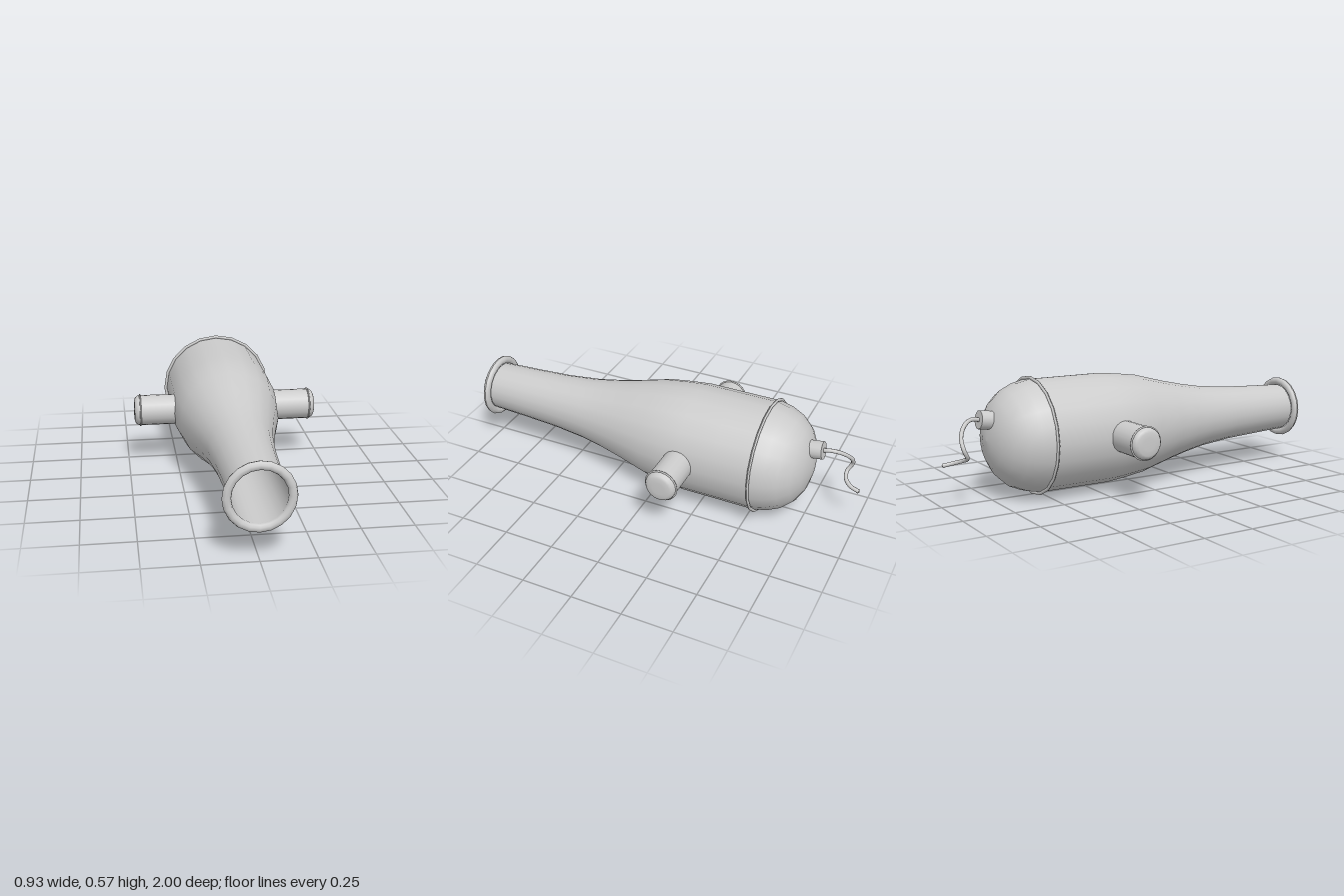
import * as THREE from 'three';

const AXIS_Y = 0.286;
const SIDES = 20;
const material = new THREE.MeshStandardMaterial({ color: 0xcccccc });

function part(name, geometry) {
  const mesh = new THREE.Mesh(geometry, material);
  mesh.name = name;
  return mesh;
}

// Turned part: pairs of [radius, height]
function turned(name, points, sides = SIDES) {
  return part(name, new THREE.LatheGeometry(points.map(([r, h]) => new THREE.Vector2(r, h)), sides));
}

// Ring with an elliptical section around the turning axis
function ring(name, radius, height, halfWidth, halfHeight, sides = SIDES) {
  const points = [];
  for (let i = 0; i <= 10; i++) {
    const a = (i / 10) * Math.PI * 2;
    points.push([radius + Math.cos(a) * halfWidth, height + Math.sin(a) * halfHeight]);
  }
  return turned(name, points, sides);
}

export function createModel() {
  const model = new THREE.Group();
  model.name = 'cannonBarrel';

  // Turned body, laid along z with the muzzle to the front
  const body = new THREE.Group();
  body.name = 'body';
  body.rotation.x = Math.PI / 2;
  body.position.y = AXIS_Y;
  model.add(body);

  body.add(turned('breechDome', [
    [0, -0.772], [0.055, -0.768], [0.125, -0.75], [0.185, -0.715],
    [0.23, -0.665], [0.257, -0.605], [0.272, -0.54],
  ]));
  body.add(turned('barrel', [
    [0.272, -0.54], [0.272, -0.35], [0.272, -0.17], [0.262, -0.07], [0.247, 0.04], [0.205, 0.2],
    [0.178, 0.32], [0.158, 0.43], [0.14, 0.6], [0.131, 0.77], [0.122, 0.97],
  ]));
  body.add(turned('bore', [[0.121, 0.98], [0.119, -0.1]]));
  body.add(turned('boreFloor', [[0.119, -0.1], [0, -0.1]]));
  body.add(ring('muzzleRing', 0.14, 0.981, 0.02, 0.019));
  body.add(ring('breechBand', 0.278, -0.54, 0.008, 0.007));

  // Trunnions on both sides
  for (const side of [1, -1]) {
    const trunnion = new THREE.Group();
    trunnion.name = side > 0 ? 'leftTrunnion' : 'rightTrunnion';
    trunnion.rotation.z = -side * Math.PI / 2;
    trunnion.position.set(0, AXIS_Y, -0.175);
    trunnion.add(turned('pin', [[0.077, 0.2], [0.077, 0.436]]));
    trunnion.add(turned('pinCap', [
      [0.077, 0.436], [0.075, 0.448], [0.067, 0.459], [0.055, 0.465], [0.03, 0.467], [0, 0.467],
    ]));
    trunnion.add(ring('pinBand', 0.078, 0.436, 0.005, 0.004));
    model.add(trunnion);
  }

  // Fuse socket, tilted slightly upward at the breech
  const socket = part('fuseSocket', new THREE.CylinderGeometry(0.044, 0.044, 0.07, 16));
  socket.position.set(-0.008, 0.386, -0.775);
  socket.rotation.x = -Math.PI / 2 + 0.14;
  model.add(socket);

  // Curling fuse cord
  const path = new THREE.CatmullRomCurve3([
    [-0.008, 0.388, -0.79], [-0.015, 0.396, -0.85], [-0.042, 0.376, -0.895],
    [-0.085, 0.33, -0.929], [-0.118, 0.28, -0.93], [-0.105, 0.24, -0.91],
    [-0.065, 0.222, -0.918], [-0.033, 0.209, -0.95], [-0.02, 0.2, -0.997],
  ].map((p) => new THREE.Vector3(...p)));
  model.add(part('fuse', new THREE.TubeGeometry(path, 48, 0.01, 8)));

  // Rounded fuse tip
  const tip = part('fuseTip', new THREE.SphereGeometry(0.01, 8, 6));
  tip.position.copy(path.getPoint(1));
  tip.scale.setScalar(0.98);
  tip.position.z += 0.007;
  model.add(tip);

  return model;
}
